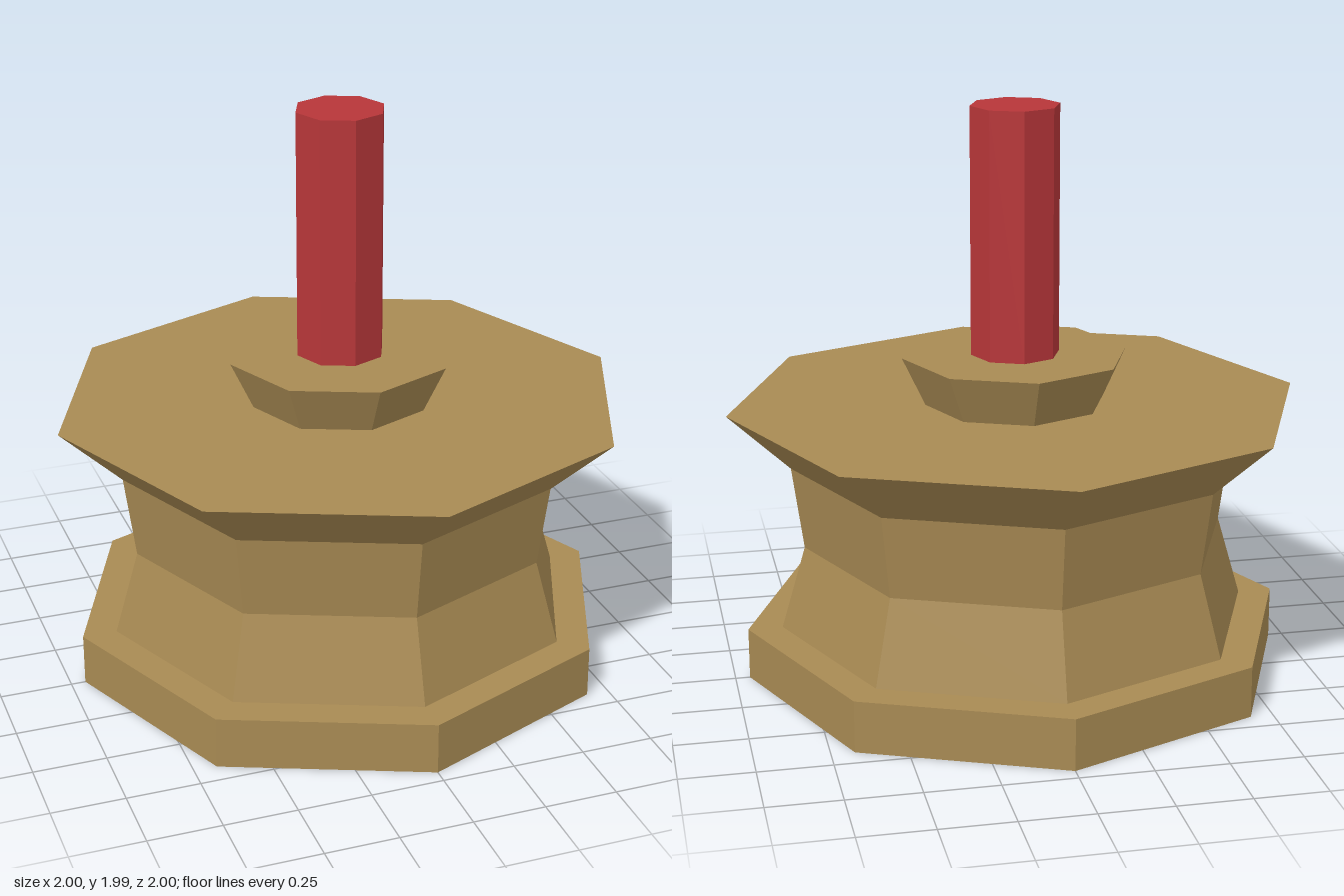
import * as THREE from 'three';

const SIDES = 8;

// Octagonal shell turned from a [radius, height] profile
function turned(name, profile, material) {
  const points = profile.map(([r, y]) => new THREE.Vector2(r, y));
  const mesh = new THREE.Mesh(new THREE.LatheGeometry(points, SIDES), material);
  mesh.name = name;
  return mesh;
}

export function createModel() {
  const brown = new THREE.MeshStandardMaterial({ color: 0xa88a53, flatShading: true, side: THREE.DoubleSide });
  brown.name = 'brown';
  const red = new THREE.MeshStandardMaterial({ color: 0xb73639, flatShading: true, side: THREE.DoubleSide });
  red.name = 'red';

  const model = new THREE.Group();
  model.name = 'pedestalWithRod';

  // Hollow pedestal, open underneath: plinth, pinched waist, flared rim, flat top
  model.add(turned('pedestal', [
    [0.95, 0], [0.95, 0.18], [0.83, 0.18], [0.745, 0.47],
    [0.785, 0.76], [1, 0.96], [0, 0.96],
  ], brown));

  // Flared collar on the top
  model.add(turned('collar', [[0.315, 0.96], [0.395, 1.13], [0, 1.13]], brown));

  // Upright rod
  model.add(turned('rod', [[0.155, 1.13], [0.155, 1.99], [0, 1.99]], red));

  return model;
}
